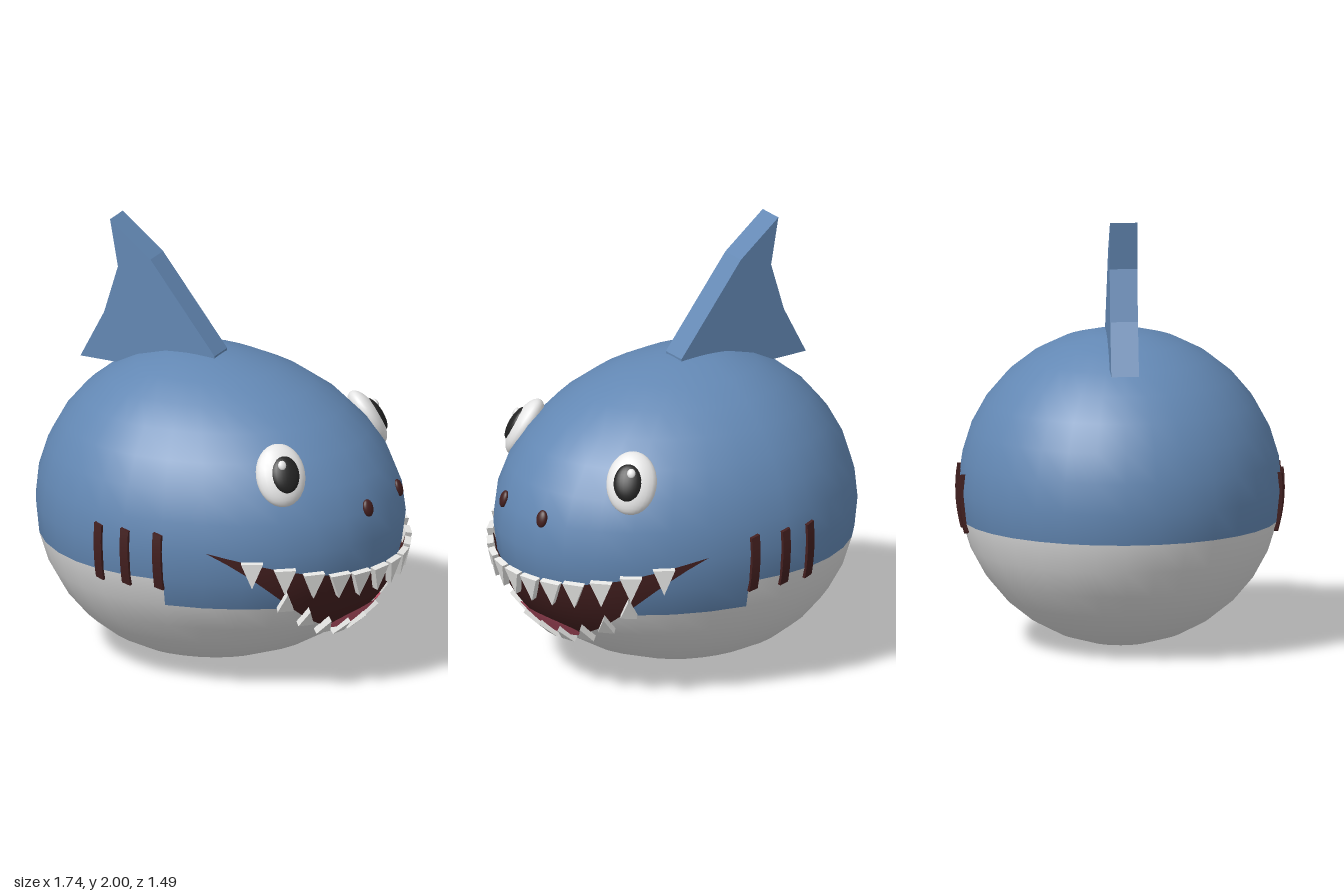
import * as THREE from 'three';
import { mergeVertices } from 'three/addons/utils/BufferGeometryUtils.js';

const mat = (name, color, side = THREE.FrontSide) => {
  const m = new THREE.MeshStandardMaterial({ color, side });
  m.name = name;
  return m;
};

// Egg-shaped body: longer towards the nose (+x)
const CX = -0.14, CY = 0.715, FRONT = 0.99, REAR = 0.73, RY = 0.715, RZ = 0.73;
const rx = (s) => (s > 0 ? FRONT : REAR);
const root = (v) => Math.sqrt(Math.max(0, v));
const onFront = (y, z) =>
  new THREE.Vector3(CX + FRONT * root(1 - ((y - CY) / RY) ** 2 - (z / RZ) ** 2), y, z);
const onSide = (x, y) => RZ * root(1 - ((x - CX) / rx(x - CX)) ** 2 - ((y - CY) / RY) ** 2);
const normalAt = (p) =>
  new THREE.Vector3((p.x - CX) / FRONT ** 2, (p.y - CY) / RY ** 2, p.z / RZ ** 2).normalize();

// Lip lines, as heights across the width of the face
const MOUTH = 0.67;
const upperLip = (z) => 0.58 + 0.15 * (Math.abs(z) / MOUTH) ** 3;
const lowerLip = (z) => 0.27 + 0.46 * (Math.abs(z) / MOUTH) ** 2.2;

// Thin curved plate on the face between two height curves
function facePlate(halfWidth, low, high, lift) {
  const nz = 40, ny = 10, pos = [], idx = [];
  for (let i = 0; i <= nz; i++) {
    const z = halfWidth * ((2 * i) / nz - 1);
    for (let j = 0; j <= ny; j++) {
      const p = onFront(THREE.MathUtils.lerp(low(z), high(z), j / ny), z);
      p.addScaledVector(normalAt(p), lift);
      pos.push(p.x, p.y, p.z);
      if (i < nz && j < ny) {
        const a = i * (ny + 1) + j, d = a + ny + 1;
        idx.push(a, a + 1, d + 1, a, d + 1, d);
      }
    }
  }
  const g = new THREE.BufferGeometry();
  g.setAttribute('position', new THREE.Float32BufferAttribute(pos, 3));
  g.setIndex(idx);
  g.computeVertexNormals();
  return g;
}

// Body sphere, coloured by rings: the belly starts lower at the front
function bodyGeometry() {
  let g = new THREE.SphereGeometry(1, 32, 16);
  g.deleteAttribute('uv');
  g.deleteAttribute('normal');
  g = mergeVertices(g);
  const p = g.attributes.position, index = g.index.array, back = [], belly = [];
  for (let t = 0; t < index.length; t += 3) {
    const tri = [index[t], index[t + 1], index[t + 2]];
    const y = tri.reduce((s, i) => s + p.getY(i), 0) / 3;
    const x = tri.reduce((s, i) => s + p.getX(i), 0) / 3;
    const blue = y > -0.195 || (y > -0.383 && x > 0.17);
    (blue ? back : belly).push(...tri);
  }
  g.setIndex([...back, ...belly]);
  g.addGroup(0, back.length, 0);
  g.addGroup(back.length, belly.length, 1);
  for (let i = 0; i < p.count; i++) {
    const x = p.getX(i);
    p.setXYZ(i, CX + x * rx(x), CY + p.getY(i) * RY, p.getZ(i) * RZ);
  }
  g.computeVertexNormals();
  return g;
}

// Place an object at p with local z along n and local y as upright as possible
function orient(obj, p, n) {
  const right = new THREE.Vector3(0, 1, 0).cross(n).normalize();
  const up = n.clone().cross(right);
  obj.quaternion.setFromRotationMatrix(new THREE.Matrix4().makeBasis(right, up, n));
  obj.position.copy(p);
}

function toothGeometry(width, height) {
  const s = new THREE.Shape();
  s.moveTo(-width / 2, 0);
  s.lineTo(0, -height);
  s.lineTo(width / 2, 0);
  s.closePath();
  return new THREE.ExtrudeGeometry(s, { depth: 0.03, bevelEnabled: false });
}

export function createModel() {
  const group = new THREE.Group();
  const blue = mat('blue skin', 0x6388b4);
  const pale = mat('pale belly', 0xdadada);
  const dark = mat('dark maroon', 0x431f1f, THREE.DoubleSide);
  const pink = mat('pink tongue', 0xc4566c, THREE.DoubleSide);
  const ivory = mat('tooth white', 0xe8e8e6);
  const white = mat('eye white', 0xf0f0f0);
  const black = mat('pupil black', 0x222222);
  const add = (name, geo, material, parent = group) => {
    const m = new THREE.Mesh(geo, material);
    m.name = name;
    parent.add(m);
    return m;
  };
  const ball = new THREE.SphereGeometry(1, 24, 16);

  add('body', bodyGeometry(), [blue, pale]);

  // Dorsal fin
  const outline = [[-0.7, 1.32], [-0.02, 1.32], [-0.02, 1.43], [-0.345, 1.84],
    [-0.55, 2], [-0.51, 1.78], [-0.58, 1.55]];
  const finShape = new THREE.Shape(outline.map(([x, y]) => new THREE.Vector2(x, y)));
  const fin = new THREE.ExtrudeGeometry(finShape, { depth: 0.125, bevelEnabled: false });
  add('dorsalFin', fin.translate(0, 0, -0.0625), blue);

  // Mouth and tongue
  add('mouth', facePlate(MOUTH, lowerLip, upperLip, 0.012), dark);
  const tongueTop = (z) => lowerLip(0.22) + (0.378 - lowerLip(0.22)) * root(1 - (z / 0.22) ** 2);
  add('tongue', facePlate(0.22, lowerLip, tongueTop, 0.02), pink);

  // Teeth: each row is mirrored about the middle
  const row = (name, places, geo, height, flip) => {
    for (const z of [...places.slice(1).map((v) => -v), ...places]) {
      const p = onFront(height(z), z), n = normalAt(p);
      const holder = new THREE.Group();
      holder.name = name;
      orient(holder, p.addScaledVector(n, 0.008), n);
      const tooth = add(name, geo, ivory, holder);
      if (flip) {
        tooth.rotation.z = Math.PI;
      }
      group.add(holder);
    }
  };
  row('upperTooth', [0, 0.11, 0.22, 0.32, 0.42, 0.51, 0.59], toothGeometry(0.1, 0.12),
    (z) => upperLip(z) + 0.012, false);
  row('lowerTooth', [0, 0.11, 0.23, 0.35, 0.46], toothGeometry(0.075, 0.1),
    (z) => lowerLip(z) - 0.015, true);

  for (const side of [1, -1]) {
    const label = side > 0 ? 'left' : 'right';

    // Eye with pupil and glint
    const eye = new THREE.Group();
    eye.name = label + 'Eye';
    orient(eye, onFront(1.065, 0.425 * side), new THREE.Vector3(0.66, 0.52, 0.7 * side).normalize());
    add('eyeball', ball, white, eye).scale.set(0.115, 0.145, 0.06);
    const pupil = add('pupil', ball, black, eye);
    pupil.scale.set(0.066, 0.086, 0.03);
    pupil.position.set(0.01 * side, -0.005, 0.043);
    const glint = add('glint', ball, white, eye);
    glint.scale.set(0.019, 0.022, 0.012);
    glint.position.set(-0.005 * side, 0.035, 0.068);
    group.add(eye);

    // Nostril
    const p = onFront(0.87, 0.15 * side);
    const nostril = add(label + 'Nostril', ball, dark);
    orient(nostril, p, normalAt(p));
    nostril.scale.set(0.028, 0.04, 0.018);

    // Gill slits bent to the side of the body
    for (const x of [-0.27, -0.13, 0.03]) {
      const g = new THREE.BoxGeometry(0.04, 0.265, 0.026, 1, 8, 1);
      const v = g.attributes.position;
      for (let i = 0; i < v.count; i++) {
        const gx = x + v.getX(i), gy = 0.665 + v.getY(i) - v.getX(i) * 0.3;
        v.setXYZ(i, gx, gy, side * onSide(gx, gy) + v.getZ(i));
      }
      g.computeVertexNormals();
      add(label + 'Gill', g, dark);
    }
  }
  return group;
}
